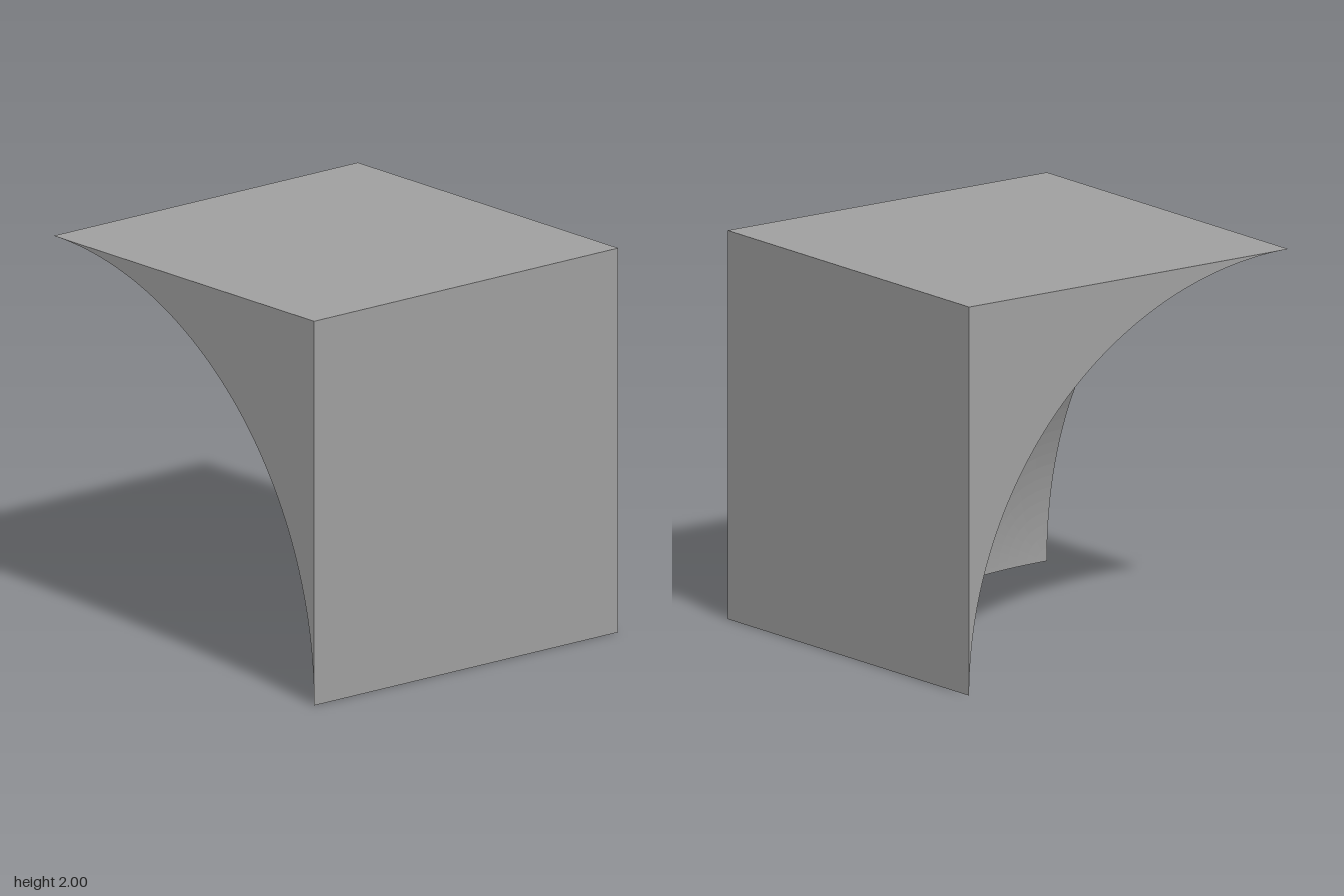
import * as THREE from 'three';

const SIZE = 2;
const SEGMENTS = 48;

// Cube with a spherical octant scooped out of its bottom back corner.
export function createModel() {
  const model = new THREE.Group();
  model.name = 'scoopedCube';
  const material = new THREE.MeshStandardMaterial({ color: 0xa0a0a0, flatShading: true });

  // Everything is laid out from the scooped corner, which is the sphere centre.
  const body = new THREE.Group();
  body.name = 'body';
  body.position.set(-SIZE / 2, 0, -SIZE / 2);
  model.add(body);

  const add = (name, geometry) => {
    const mesh = new THREE.Mesh(geometry, material);
    mesh.name = name;
    body.add(mesh);
  };

  // Whole square face, and the spandrel left beside a quarter circle
  const square = new THREE.Shape().moveTo(0, 0).lineTo(SIZE, 0).lineTo(SIZE, SIZE).lineTo(0, SIZE);
  const spandrel = new THREE.Shape().moveTo(SIZE, 0).lineTo(SIZE, SIZE).lineTo(0, SIZE);
  spandrel.absarc(0, 0, SIZE, Math.PI / 2, 0, true);

  // Lays a shape on the plane spanned by u and v, facing u x v
  const addFace = (name, shape, u, v, offset) => {
    const n = new THREE.Vector3().crossVectors(u, v);
    const matrix = new THREE.Matrix4().makeBasis(u, v, n).setPosition(n.clone().multiplyScalar(offset));
    add(name, new THREE.ShapeGeometry(shape, SEGMENTS).applyMatrix4(matrix));
  };

  const X = new THREE.Vector3(1, 0, 0);
  const Y = new THREE.Vector3(0, 1, 0);
  const Z = new THREE.Vector3(0, 0, 1);
  for (const [fullName, cutName, u, v] of [
    ['frontFace', 'backSpandrel', X, Y],
    ['leftFace', 'rightSpandrel', Y, Z],
    ['topFace', 'bottomSpandrel', Z, X],
  ]) {
    addFace(fullName, square, u, v, SIZE);
    addFace(cutName, spandrel, v, u, 0);
  }

  // Concave octant; mirroring turns its faces toward the sphere centre,
  // and the change of axes puts its pole at the front
  const scoop = new THREE.SphereGeometry(SIZE, SEGMENTS, SEGMENTS, 0, Math.PI / 2, 0, Math.PI / 2);
  scoop.scale(-1, 1, 1);
  scoop.applyMatrix4(new THREE.Matrix4().makeBasis(Y, Z, X));
  scoop.computeVertexNormals();
  add('sphericalScoop', scoop);

  return model;
}
